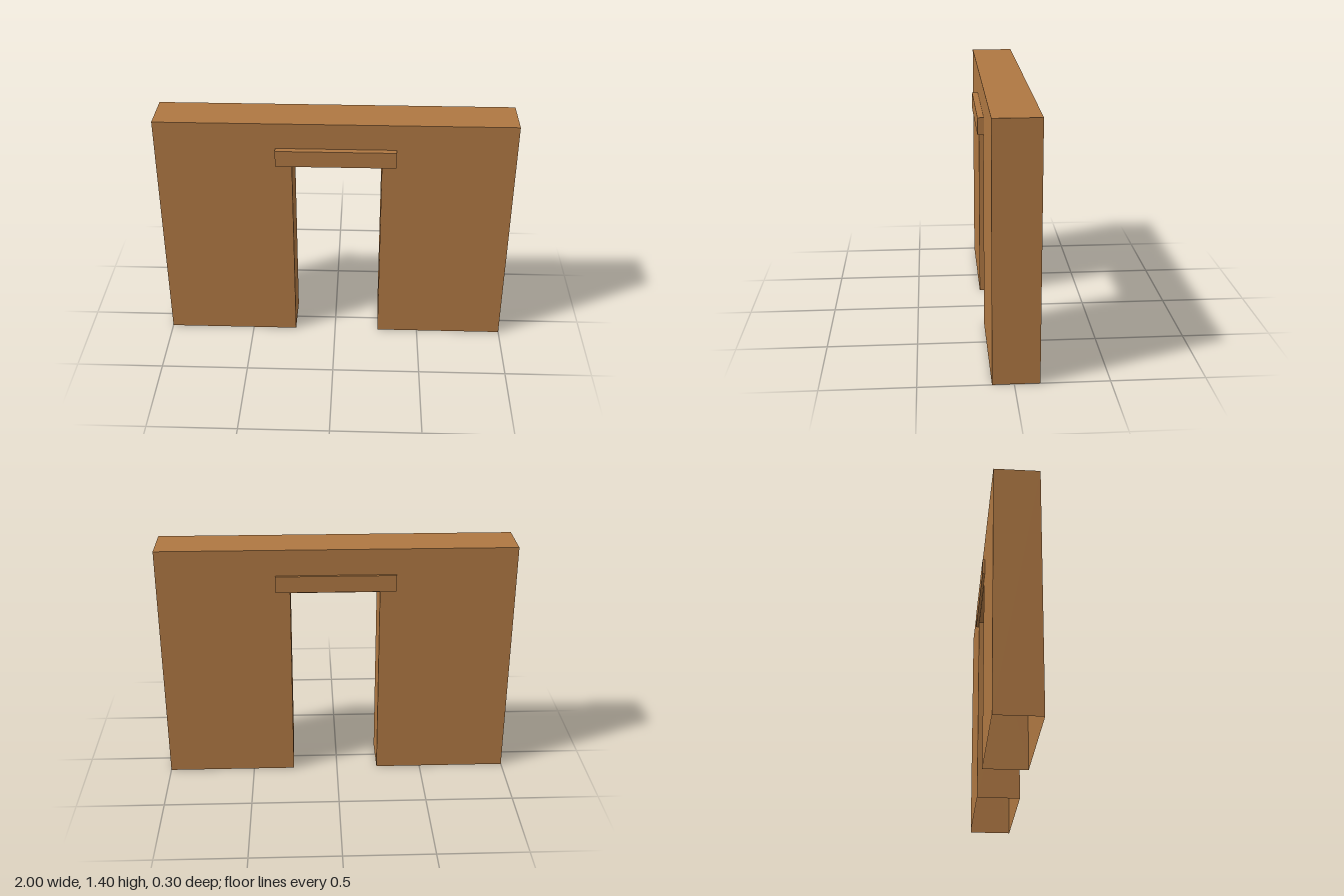
import * as THREE from 'three';

// Drops the triangles lying on the ground so the hollow wall is open below
function openBase(geometry) {
  const p = geometry.attributes.position;
  const kept = [];
  for (let i = 0; i < p.count; i += 3) {
    if ([0, 1, 2].every((k) => Math.abs(p.getY(i + k)) < 1e-5)) continue;
    for (let k = 0; k < 3; k++) kept.push(p.getX(i + k), p.getY(i + k), p.getZ(i + k));
  }
  const open = new THREE.BufferGeometry();
  open.setAttribute('position', new THREE.Float32BufferAttribute(kept, 3));
  open.computeVertexNormals();
  return open;
}

export function createModel() {
  const model = new THREE.Group();
  model.name = 'doorwayWall';
  const brown = new THREE.MeshStandardMaterial({ color: 0xae7742, side: THREE.DoubleSide });
  brown.name = 'warm brown';

  const back = -0.135, front = 0.115;

  // Hollow wall with a doorway slightly off centre
  const outline = new THREE.Shape([
    [-1, 0], [-0.24, 0], [-0.24, 1.147], [0.26, 1.147],
    [0.26, 0], [1, 0], [1, 1.4], [-1, 1.4],
  ].map(([x, y]) => new THREE.Vector2(x, y)));
  const wallGeometry = new THREE.ExtrudeGeometry(outline, { depth: front - back, bevelEnabled: false });
  wallGeometry.translate(0, 0, back);
  const wall = new THREE.Mesh(openBase(wallGeometry), brown);
  wall.name = 'wall';
  model.add(wall);

  // Lintel boards over the doorway, deeper on the front
  for (const [name, z0, z1] of [['frontLintel', front, 0.15], ['backLintel', -0.15, back]]) {
    const lintel = new THREE.Mesh(new THREE.BoxGeometry(0.67, 0.095, z1 - z0), brown);
    lintel.name = name;
    lintel.position.set(0.005, 1.2025, (z0 + z1) / 2);
    model.add(lintel);
  }
  return model;
}
